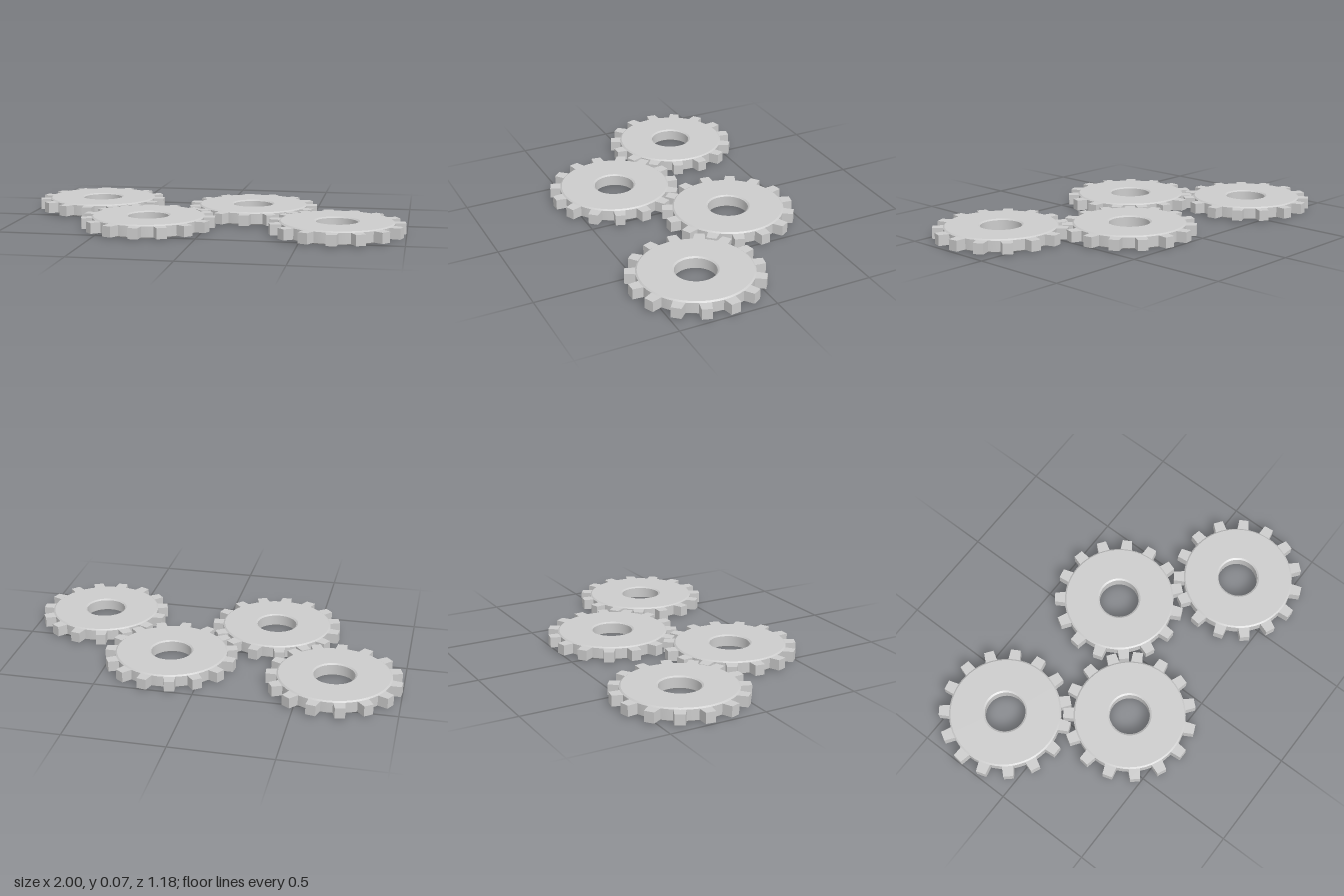
import * as THREE from 'three';
import { toCreasedNormals } from 'three/addons/utils/BufferGeometryUtils.js';

const HEIGHT = 0.066, BEVEL = 0.006, TEETH = 15;
const ROOT = 0.285, TIP = 0.337, BORE = 0.103;

// Disc with a through bore; bevelled at the rim and at the bore
function discGeometry() {
  const profile = [
    [BORE + 0.009, 0], [ROOT - 0.008, 0], [ROOT, BEVEL],
    [ROOT, HEIGHT - BEVEL], [ROOT - 0.008, HEIGHT], [BORE + 0.009, HEIGHT],
    [BORE, HEIGHT - BEVEL], [BORE, BEVEL], [BORE + 0.009, 0],
  ].map(([r, y]) => new THREE.Vector2(r, y));
  return toCreasedNormals(new THREE.LatheGeometry(profile, 60), 0.4);
}

// One tapered tooth pointing to +z, set slightly into the disc
function toothGeometry() {
  const shape = new THREE.Shape([
    [-0.031, -0.272], [-0.030, -0.284], [-0.025, -TIP],
    [0.025, -TIP], [0.030, -0.284], [0.031, -0.272],
  ].map(([x, y]) => new THREE.Vector2(x, y)));
  const geometry = new THREE.ExtrudeGeometry(shape, { depth: HEIGHT - 2 * BEVEL, bevelEnabled: false });
  return geometry.rotateX(-Math.PI / 2).translate(0, BEVEL, 0);
}

export function createModel() {
  const model = new THREE.Group();
  model.name = 'gearTrain';
  const material = new THREE.MeshStandardMaterial({ color: 0xcccccc });
  const disc = discGeometry();
  const tooth = toothGeometry();

  // Four equal gears in a zigzag, from right to left
  const centres = [[-0.662, -0.257], [-0.288, 0.253], [0.183, -0.177], [0.660, 0.248]];
  centres.forEach(([x, z], i) => {
    const gear = new THREE.Group();
    gear.name = `gear${i + 1}`;
    gear.position.set(x, 0, z);

    const body = new THREE.Mesh(disc, material);
    body.name = 'disc';
    gear.add(body);

    for (let k = 0; k < TEETH; k++) {
      const mesh = new THREE.Mesh(tooth, material);
      mesh.name = `tooth${k + 1}`;
      mesh.rotation.y = (k / TEETH) * Math.PI * 2;
      gear.add(mesh);
    }
    model.add(gear);
  });
  return model;
}
